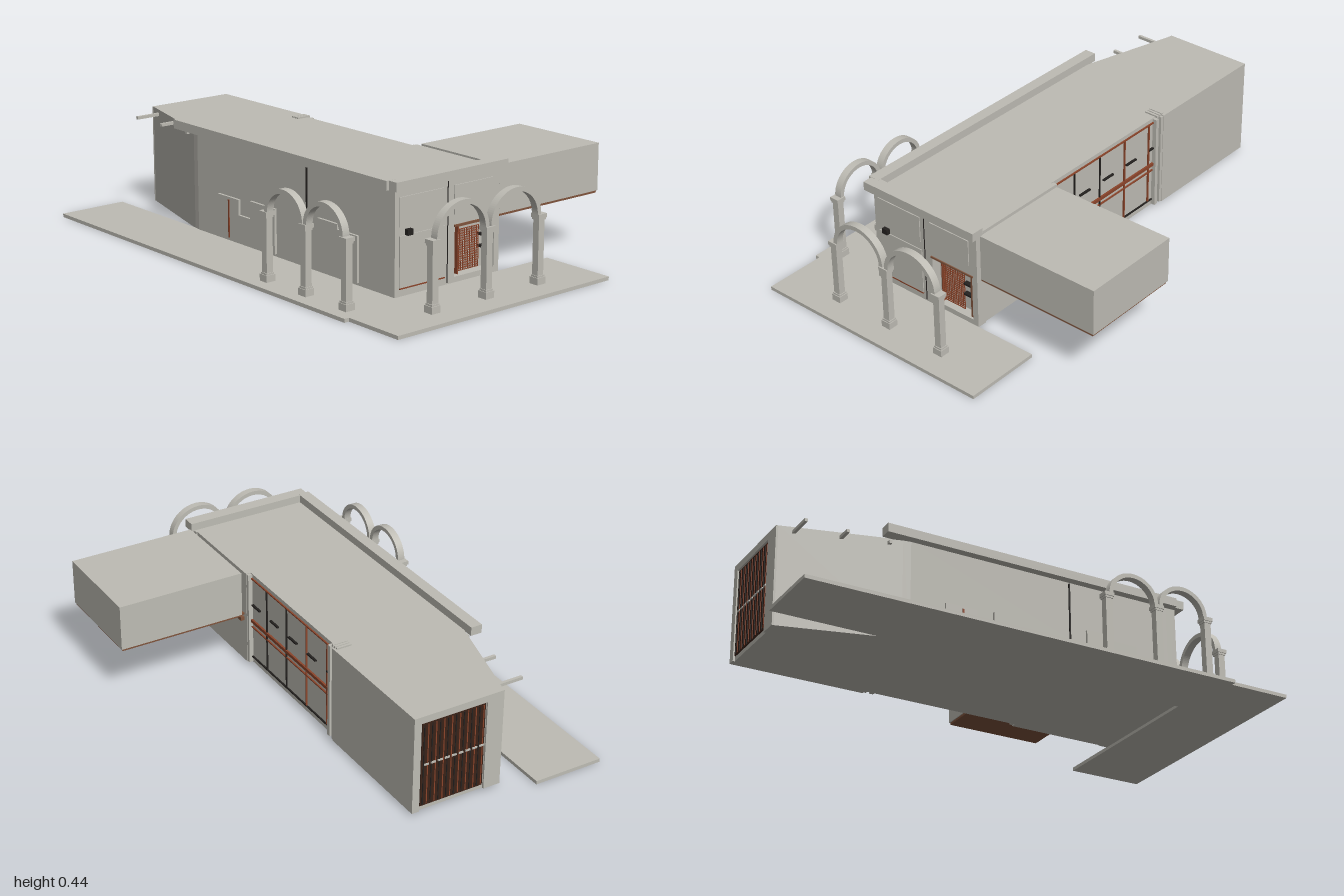
import * as THREE from 'three';

const mat = (name, color) => {
  const m = new THREE.MeshStandardMaterial({ color });
  m.name = name;
  return m;
};

export function createModel() {
  const root = new THREE.Group();
  const concrete = mat('concrete', 0xbebcb4);
  const wood = mat('wood', 0x80543c);
  const rust = mat('rust trim', 0x8c452b);
  const screenDark = mat('dark screen', 0x3a2218);
  const black = mat('black metal', 0x24211f);

  const add = (name, geo, material, parent = root) => {
    const m = new THREE.Mesh(geo, material);
    m.name = name;
    parent.add(m);
    return m;
  };
  // Box given by its minimum and maximum on each axis
  const box = (name, x0, x1, y0, y1, z0, z1, material = concrete, parent = root) => {
    const m = add(name, new THREE.BoxGeometry(x1 - x0, y1 - y0, z1 - z0), material, parent);
    m.position.set((x0 + x1) / 2, (y0 + y1) / 2, (z0 + z1) / 2);
    return m;
  };
  // Footprint of [x, z] corners raised from y0 to y1
  const slab = (name, pts, y0, y1, material = concrete) => {
    const s = new THREE.Shape(pts.map(([x, z]) => new THREE.Vector2(x, -z)));
    const g = new THREE.ExtrudeGeometry(s, { depth: y1 - y0, bevelEnabled: false });
    g.rotateX(-Math.PI / 2).translate(0, y0, 0);
    return add(name, g, material);
  };
  const group = (name, parent = root) => {
    const g = new THREE.Group();
    g.name = name;
    parent.add(g);
    return g;
  };
  const rect = (Type, x0, x1, y0, y1) => new Type([[x0, y0], [x1, y0], [x1, y1], [x0, y1]].map(p => new THREE.Vector2(...p)));

  // L-shaped paving
  slab('paving', [[-0.64, 1], [0.38, 1], [0.38, 0.69], [-0.375, 0.69], [-0.375, -1],
    [-0.66, -1], [-0.66, 0.75], [-0.64, 0.75]], 0, 0.014);

  // Main hall with recessed window side and tapered back corner
  slab('hall', [[-0.38, 0.65], [0.12, 0.65], [0.12, 0.25], [0.1, 0.25], [0.1, -0.4], [0.12, -0.4],
    [0.12, -0.93], [-0.255, -0.93], [-0.375, -0.49], [-0.38, -0.46]], 0.012, 0.408);

  // Front wall with the entrance opening
  const front = rect(THREE.Shape, -0.38, 0.125, 0.012, 0.408);
  front.holes.push(rect(THREE.Path, -0.095, 0.1, 0.035, 0.225));
  const frontGeo = new THREE.ExtrudeGeometry(front, { depth: 0.04, bevelEnabled: false });
  frontGeo.translate(0, 0, 0.65);
  add('frontWall', frontGeo, concrete);

  // Parapet on the left and front edges
  box('sideParapet', -0.412, -0.365, 0.405, 0.44, -0.57, 0.68);
  box('frontParapet', -0.4, 0.137, 0.405, 0.4395, 0.667, 0.72);

  // Front panels, seam, trim and lamp
  const facade = group('facade');
  for (const [x0, x1] of [[-0.36, -0.15], [-0.1, 0.088]])
    box('upperPanel', x0, x1, 0.268, 0.375, 0.69, 0.694, concrete, facade);
  box('lowerPanel', -0.36, -0.145, 0.045, 0.235, 0.69, 0.694, concrete, facade);
  box('panelTrim', -0.36, -0.145, 0.041, 0.046, 0.69, 0.695, rust, facade);
  box('seam', -0.132, -0.129, 0.02, 0.405, 0.69, 0.692, black, facade);
  box('entranceLintel', -0.1, 0.105, 0.222, 0.229, 0.688, 0.695, wood, facade);
  box('wallLamp', -0.333, -0.308, 0.235, 0.257, 0.69, 0.706, black, facade);

  // Entrance lattice, post and shelves
  const entrance = group('entrance');
  for (let i = 0; i <= 12; i++) {
    const x = -0.06 + i * 0.0085;
    box('latticeUpright', x - 0.001, x + 0.001, 0.045, 0.2, 0.667, 0.67, rust, entrance);
  }
  for (let i = 0; i <= 18; i++) {
    const y = 0.045 + i * 0.0086;
    box('latticeRail', -0.061, 0.043, y - 0.001, y + 0.001, 0.667, 0.67, rust, entrance);
  }
  box('doorHead', -0.065, 0.095, 0.212, 0.219, 0.655, 0.675, wood, entrance);
  box('doorPost', 0.082, 0.094, 0.035, 0.215, 0.655, 0.68, wood, entrance);
  box('doorJamb', -0.066, -0.061, 0.035, 0.215, 0.655, 0.675, rust, entrance);
  for (const y of [0.115, 0.16])
    box('handle', 0.045, 0.08, y, y + 0.008, 0.66, 0.678, black, entrance);

  // Projecting upper room
  const wing = group('upperRoom');
  box('roomBody', 0.135, 0.655, 0.225, 0.41, 0.26, 0.68, concrete, wing);
  box('roomUnderside', 0.135, 0.65, 0.216, 0.225, 0.264, 0.677, wood, wing);
  box('frontLink', 0.12, 0.137, 0.217, 0.225, 0.53, 0.665, wood, wing);
  box('backLink', 0.12, 0.137, 0.217, 0.225, 0.27, 0.355, wood, wing);
  box('shelf', 0.1, 0.135, 0.192, 0.207, 0.27, 0.365, wood, wing);

  // Window side
  const glazing = group('windowSide');
  for (const z of [0.12, -0.03])
    box('mullion', 0.1, 0.106, 0.04, 0.39, z - 0.002, z + 0.002, black, glazing);
  for (const z of [-0.18, -0.33])
    box('rustMullion', 0.1, 0.106, 0.04, 0.39, z - 0.003, z + 0.003, rust, glazing);
  box('topTrim', 0.1, 0.106, 0.387, 0.392, -0.4, 0.25, rust, glazing);
  box('midRail', 0.1, 0.108, 0.195, 0.208, -0.4, 0.25, rust, glazing);
  box('lowerRail', 0.1, 0.106, 0.172, 0.177, -0.4, 0.25, rust, glazing);
  box('sill', 0.1, 0.106, 0.036, 0.041, -0.4, 0.25, black, glazing);
  for (let i = 0; i < 5; i++) {
    const z = 0.2 - i * 0.14;
    box('windowHandle', 0.1, 0.109, 0.272, 0.278, z - 0.03, z + 0.03, black, glazing);
  }
  for (const z of [0.245, -0.365, -0.395])
    box('sidePost', 0.095, 0.118, 0.015, 0.405, z - 0.008, z + 0.008, concrete, glazing);
  for (let i = 0; i < 3; i++)
    box('roofVent', 0.05, 0.11, 0.405, 0.414, -0.41 + i * 0.014, -0.4 + i * 0.014, concrete, glazing);

  // Left side doors and panels
  const side = group('leftSidePanels');
  for (const [z0, z1, y1] of [[0.28, 0.39, 0.22], [0.39, 0.5, 0.2], [-0.32, -0.19, 0.19], [-0.19, -0.12, 0.13], [-0.12, 0.03, 0.2]])
    box('doorPanel', -0.39, -0.38, 0.025, y1, z0, z1, concrete, side);
  box('doorEdge', -0.393, -0.38, 0.03, 0.18, -0.253, -0.246, rust, side);
  box('sideSeam', -0.384, -0.38, 0.02, 0.4, 0.207, 0.213, black, side);

  // Back screen with slats and a pale middle rail
  const screen = group('backScreen');
  box('screenPanel', -0.18, 0.085, 0.03, 0.375, -0.934, -0.93, screenDark, screen);
  for (let i = 0; i < 16; i++) {
    const x = -0.172 + i * 0.0165;
    box('slat', x - 0.002, x + 0.002, 0.035, 0.37, -0.936, -0.934, i % 2 ? black : rust, screen);
  }
  for (let i = 0; i < 9; i++)
    box('railDash', -0.178 + i * 0.029, -0.158 + i * 0.029, 0.2, 0.207, -0.938, -0.934, concrete, screen);
  for (const [x0, x1] of [[-0.255, -0.185], [0.09, 0.12]])
    box('screenJamb', x0, x1, 0.012, 0.408, -0.938, -0.93, concrete, screen);
  box('screenHead', -0.255, 0.12, 0.38, 0.408, -0.938, -0.93, concrete, screen);

  // Beams sticking out of the tapered wall
  for (const [z, x] of [[-0.875, -0.26], [-0.71, -0.3], [-0.54, -0.35]])
    box('beam', -0.375, x, 0.382, 0.394, z - 0.006, z + 0.006);

  // Arcade of two arches on three columns, along its own x axis
  const arcade = (name, pitch, outer, rise) => {
    const g = group(name);
    for (const i of [-1, 0, 1]) {
      const x = i * pitch;
      box('columnShaft', x - 0.014, x + 0.014, 0.014, 0.26, -0.014, 0.014, concrete, g);
      for (const [y0, y1, w] of [[0.014, 0.04, 0.02], [0.04, 0.047, 0.017], [0.252, 0.26, 0.017], [0.26, 0.275, 0.02]])
        box('columnMoulding', x - w, x + w, y0, y1, -w, w, concrete, g);
    }
    for (const s of [-1, 1]) {
      const arch = new THREE.Shape();
      arch.absellipse(0, 0, outer, rise, 0, Math.PI, false);
      arch.absellipse(0, 0, outer - 0.017, rise - 0.017, Math.PI, 0, true);
      const geo = new THREE.ExtrudeGeometry(arch, { depth: 0.03, bevelEnabled: false, curveSegments: 24 });
      geo.translate(s * pitch / 2, 0.275, -0.015);
      add('arch', geo, concrete, g);
    }
    return g;
  };
  arcade('frontArcade', 0.255, 0.123, 0.119).position.set(-0.13, 0, 0.89);
  const left = arcade('sideArcade', 0.219, 0.107, 0.101);
  left.rotation.y = Math.PI / 2;
  left.position.set(-0.59, 0, 0.46);

  return root;
}
